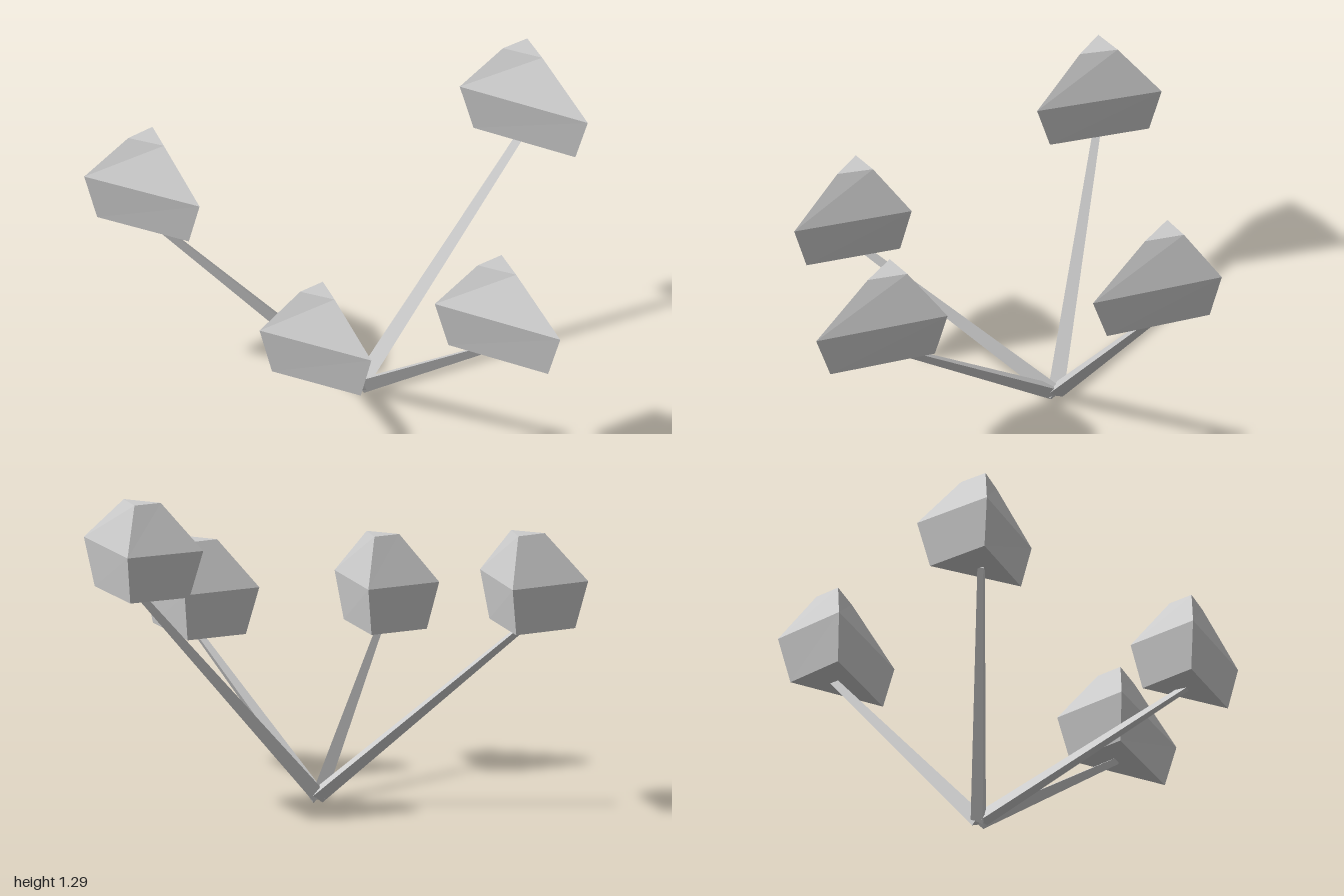
import * as THREE from 'three';

const material = new THREE.MeshStandardMaterial({ color: 0xcccccc, flatShading: true, side: THREE.DoubleSide });
const base = new THREE.Vector3(-0.19, 0.03, 0.07);

// One entry per branch: widest triangle of the crown [x, z], its height,
// shift of the small top triangle, and the point where the stalk ends.
const branches = [
  { name: 'frontRight', corners: [[-1.0, 0.45], [-1.0, 0.82], [-0.52, 0.635]], y: 0.935, shift: 0.015, end: [-0.82, 0.75, 0.635] },
  { name: 'back', corners: [[-0.28, -0.92], [-0.31, -0.57], [0.24, -0.76]], y: 1.1, shift: -0.01, end: [-0.125, 0.92, -0.76] },
  { name: 'left', corners: [[0.47, -0.1], [0.455, 0.255], [0.995, 0.07]], y: 0.765, shift: -0.006, end: [0.635, 0.585, 0.07] },
  { name: 'frontLeft', corners: [[0.15, 0.57], [0.14, 0.91], [0.61, 0.735]], y: 0.765, shift: 0.004, end: [0.305, 0.585, 0.735] },
];

// Three-sided crown lofted through a bottom, a wide middle and a small top ring
function crownGeometry({ corners, y, shift }) {
  const cx = (corners[0][0] + corners[1][0] + corners[2][0]) / 3;
  const cz = (corners[0][1] + corners[1][1] + corners[2][1]) / 3;
  const ring = (scaleX, scaleZ, dy, dx) =>
    corners.map(([x, z]) => [cx + dx + (x - cx) * scaleX, y + dy, cz + (z - cz) * scaleZ]);
  const rings = [ring(0.8, 0.78, -0.19, 0), ring(1, 1, 0, 0), ring(0.29, 0.35, 0.188, shift)];

  const points = [];
  for (let r = 0; r < 2; r++) {
    for (let i = 0; i < 3; i++) {
      const j = (i + 1) % 3;
      const [a, b, c, d] = [rings[r][i], rings[r][j], rings[r + 1][j], rings[r + 1][i]];
      points.push(a, b, c, a, c, d);
    }
  }
  points.push(...rings[2], ...[...rings[0]].reverse());

  const geometry = new THREE.BufferGeometry();
  geometry.setAttribute('position', new THREE.Float32BufferAttribute(points.flat(), 3));
  geometry.computeVertexNormals();
  return geometry;
}

// Tapered three-sided stalk from the shared base to the underside of a crown
function makeStalk(end) {
  const direction = new THREE.Vector3(...end).sub(base);
  const length = direction.length();
  const geometry = new THREE.CylinderGeometry(0.018, 0.037, length, 3, 1, false, Math.PI / 2);
  geometry.translate(0, length / 2, 0);
  const stalk = new THREE.Mesh(geometry, material);
  stalk.position.copy(base);
  stalk.quaternion.setFromUnitVectors(new THREE.Vector3(0, 1, 0), direction.normalize());
  return stalk;
}

export function createModel() {
  const model = new THREE.Group();
  model.name = 'branchingPlant';
  for (const branch of branches) {
    const group = new THREE.Group();
    group.name = branch.name + 'Branch';
    const stalk = makeStalk(branch.end);
    stalk.name = branch.name + 'Stalk';
    const crown = new THREE.Mesh(crownGeometry(branch), material);
    crown.name = branch.name + 'Crown';
    group.add(stalk, crown);
    model.add(group);
  }
  return model;
}
